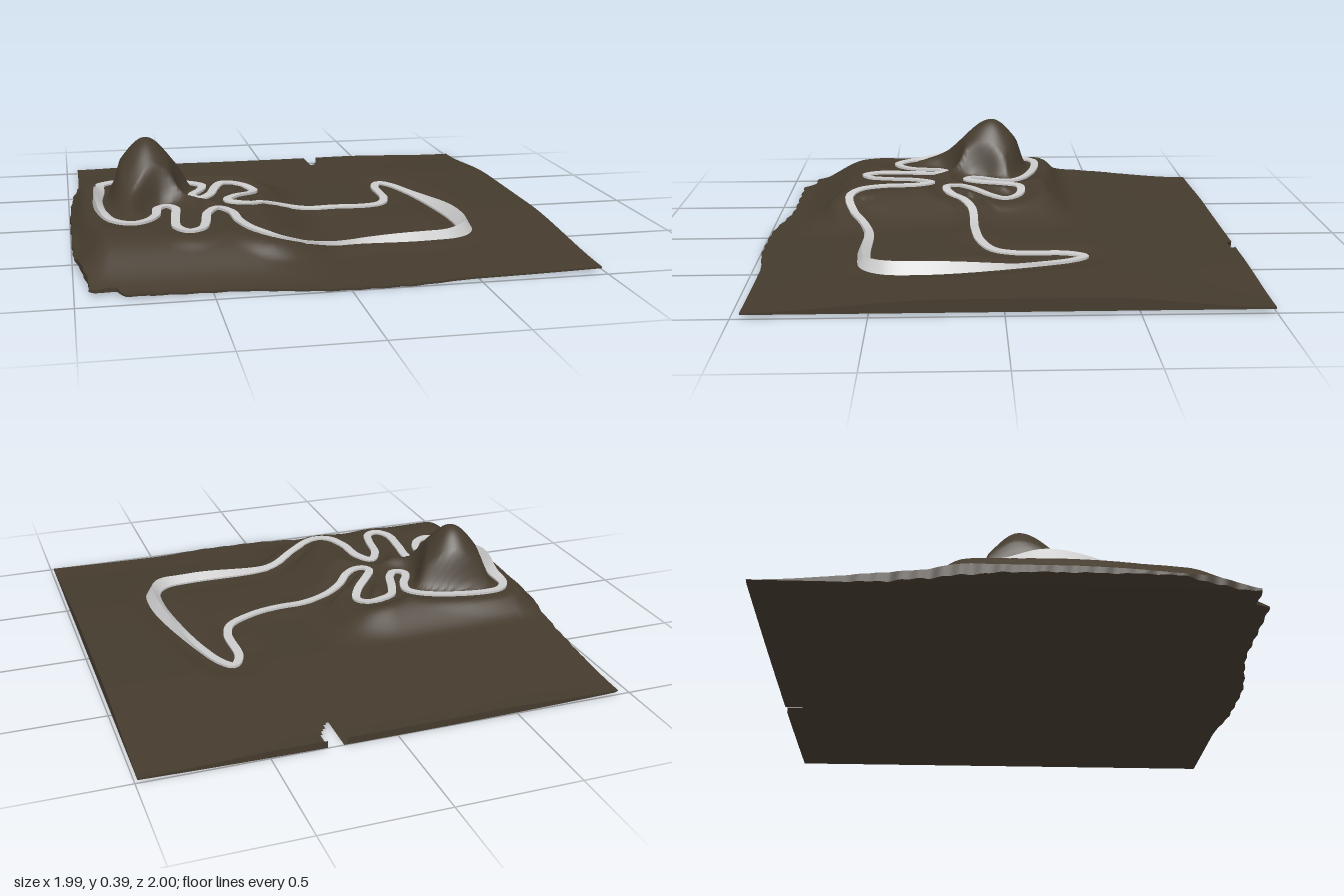
import * as THREE from 'three';
import { toCreasedNormals, mergeGeometries } from 'three/addons/utils/BufferGeometryUtils.js';

const { smoothstep, lerp } = THREE.MathUtils;
const bell = (d, s) => Math.exp(-(d * d) / (2 * s * s));

// Circuit centre line as x, z pairs, clockwise seen from above
const route = [
  [-0.82, -0.205], [-0.75, -0.215], [-0.6, -0.19], [-0.47, -0.135], [-0.425, -0.08], [-0.44, -0.01],
  [-0.48, 0.06], [-0.485, 0.105], [-0.45, 0.125], [-0.41, 0.08], [-0.37, -0.04], [-0.335, -0.11],
  [-0.285, -0.125], [-0.23, -0.11], [-0.2, -0.05], [-0.23, 0.02], [-0.31, 0.115], [-0.345, 0.17],
  [-0.335, 0.21], [-0.29, 0.22], [-0.24, 0.195], [-0.19, 0.14], [-0.12, 0.105], [0.1, 0.095],
  [0.25, 0.075], [0.36, 0.02], [0.4, -0.07], [0.41, -0.28], [0.45, -0.345], [0.49, -0.3],
  [0.54, -0.15], [0.585, 0.1], [0.605, 0.33], [0.59, 0.46], [0.53, 0.525], [0.4, 0.545],
  [0.1, 0.55], [-0.02, 0.58], [-0.12, 0.635], [-0.23, 0.66], [-0.3, 0.61], [-0.34, 0.5],
  [-0.355, 0.36], [-0.4, 0.29], [-0.45, 0.36], [-0.475, 0.5], [-0.5, 0.58], [-0.55, 0.605],
  [-0.59, 0.55], [-0.585, 0.4], [-0.575, 0.27], [-0.605, 0.225], [-0.645, 0.26], [-0.66, 0.36],
  [-0.7, 0.43], [-0.76, 0.46], [-0.83, 0.41], [-0.87, 0.28], [-0.88, 0.1], [-0.865, -0.05], [-0.86, -0.16],
];
const SAMPLES = 560;
const curve = new THREE.CatmullRomCurve3(route.map(([x, z]) => new THREE.Vector3(x, 0, z)), true, 'centripetal');

// Ground level under the road, bank height of its outer rim, and spread of the outer wall
const stations = curve.getSpacedPoints(SAMPLES).slice(0, SAMPLES).map(({ x, z }, i) => {
  const t = curve.getTangentAt(i / SAMPLES);
  const infront = smoothstep(z, 0.25, 0.5);
  const front = smoothstep(x, -0.12, 0.4) * infront;
  const side = smoothstep(x, 0.46, 0.6) * smoothstep(z, -0.3, 0.35);
  const left = smoothstep(-x, 0.83, 0.88) * bell(z - 0.1, 0.13);
  const main = 0.026 * Math.max(front, side) + 0.014 * smoothstep(x, 0.2, 0.6) * side;
  return {
    x, z, nx: t.z, nz: -t.x,
    ground: lerp(0.143, 0.045, smoothstep(x, -0.34, 0.06)) + 0.02 * bell(x - 0.1, 0.15) * (1 - infront),
    rise: main + 0.05 * left,
    flare: 0.9 * main + 0.006 * left,
  };
});

// Natural terrain: gently domed plain, raised shelf, round hill
function naturalHeight(x, z) {
  const plain = 0.032 + 0.024 * smoothstep(z, -1, -0.3) - 0.045 * smoothstep(z, 0.2, 1)
    + 0.011 * x * x - 0.02 * smoothstep(Math.abs(x), 0.4, 1) * smoothstep(-z, 0.4, 1);
  const shelf = smoothstep(x, -1.03, -0.85) * (1 - smoothstep(x, -0.3, 0.05))
    * smoothstep(z, -0.39, -0.19) * (1 - smoothstep(z, 0.62, 0.93));
  const hill = bell(x + 0.67, 0.102) * bell(z, z > 0 ? 0.135 : 0.108);
  return plain + 0.112 * shelf + 0.22 * hill;
}

// Terrain is levelled where the road crosses it, less widely beside the hill
function topHeight(x, z) {
  let best = Infinity, near = stations[0];
  for (const s of stations) {
    const d = (s.x - x) ** 2 + (s.z - z) ** 2;
    if (d < best) { best = d; near = s; }
  }
  const reach = 0.13 - 0.045 * bell(Math.hypot(x + 0.67, z), 0.2);
  const h = lerp(near.ground, naturalHeight(x, z), smoothstep(Math.sqrt(best), 0.03, reach));
  return Math.max(h, bottomHeight(x) + 0.002);
}
const bottomHeight = (x) => 0.003 + 0.013 * x * x + 0.035 * smoothstep(-x, 0.93, 1);

// Ragged outline of the land
const leftEdge = (z) => -0.948 - 0.048 * smoothstep(z, -0.65, 0.1) + 0.05 * smoothstep(z, 0.5, 0.85)
  + 0.004 * Math.sin(z * 23) * Math.sin(z * 61) * smoothstep(z, -0.8, -0.5);
const frontEdge = (x) => 0.88 + 0.055 * smoothstep(x, -0.85, -0.82) + 0.06 * smoothstep(x, -0.45, 0)
  - 0.03 * smoothstep(x, 0.2, 0.5) + 0.003 * Math.sin(x * 60) * (1 - smoothstep(x, 0.2, 0.5));
const inNotch = (x, z) => z < -0.84 && x > 0.21 && x < 0.215 + 0.075 * smoothstep(-z, 0.8, 0.98);

function landPoint(u, v) {
  const z = lerp(-1, frontEdge(lerp(-0.95, 0.99, u)), v);
  return [lerp(leftEdge(z), 0.99, u), z];
}

function buildGeometry(pos, index) {
  const g = new THREE.BufferGeometry();
  g.setAttribute('position', new THREE.Float32BufferAttribute(pos, 3));
  g.setIndex(index);
  g.computeVertexNormals();
  return g;
}

// One face of the land, up or down
const N = 150;
function sheet(height, up) {
  const pos = [], index = [];
  for (let j = 0; j <= N; j++) {
    for (let i = 0; i <= N; i++) {
      const [x, z] = landPoint(i / N, j / N);
      pos.push(x, height(x, z), z);
      if (i === N || j === N || inNotch(x, z)) continue;
      const a = j * (N + 1) + i, b = a + N + 1;
      if (up) index.push(a, b, a + 1, b, b + 1, a + 1);
      else index.push(a, a + 1, b, b, a + 1, b + 1);
    }
  }
  return buildGeometry(pos, index);
}

// Cut edge along one side of the land
function wall(uv) {
  const pos = [], index = [];
  for (let k = 0; k <= N; k++) {
    const [x, z] = landPoint(...uv(k / N));
    pos.push(x, topHeight(x, z), z, x, bottomHeight(x), z);
    const a = 2 * k;
    if (k < N && !inNotch(x, z)) index.push(a, a + 1, a + 2, a + 1, a + 3, a + 2);
  }
  return buildGeometry(pos, index);
}

function landGeometry() {
  const sides = [(t) => [t, 1], (t) => [1, 1 - t], (t) => [1 - t, 0], (t) => [0, t]];
  return mergeGeometries([sheet(topHeight, true), sheet(bottomHeight, false), ...sides.map(wall)]);
}

// Banked road: a four-cornered section swept round the circuit
function roadGeometry(half = 0.018) {
  const pos = [], index = [];
  stations.forEach((s, k) => {
    const section = [
      [-half, s.ground - 0.012],
      [-half, s.ground + 0.008],
      [half, s.ground + 0.01 + s.rise],
      [half + s.flare, s.ground - 0.012],
    ];
    for (const [o, y] of section) pos.push(s.x + s.nx * o, y, s.z + s.nz * o);
    const next = (k + 1) % SAMPLES;
    for (let c = 0; c < 4; c++) {
      const d = (c + 1) % 4;
      const a = k * 4 + c, b = k * 4 + d, e = next * 4 + c, f = next * 4 + d;
      index.push(a, e, b, b, e, f);
    }
  });
  return toCreasedNormals(buildGeometry(pos, index), 0.5);
}

export function createModel() {
  const group = new THREE.Group();
  group.name = 'racingCircuit';

  const terrain = new THREE.Mesh(landGeometry(),
    new THREE.MeshStandardMaterial({ color: 0x453b2e, side: THREE.DoubleSide }));
  terrain.name = 'terrain';

  const road = new THREE.Mesh(roadGeometry(),
    new THREE.MeshStandardMaterial({ color: 0xcccccc, side: THREE.DoubleSide }));
  road.name = 'road';

  group.add(terrain, road);
  return group;
}
